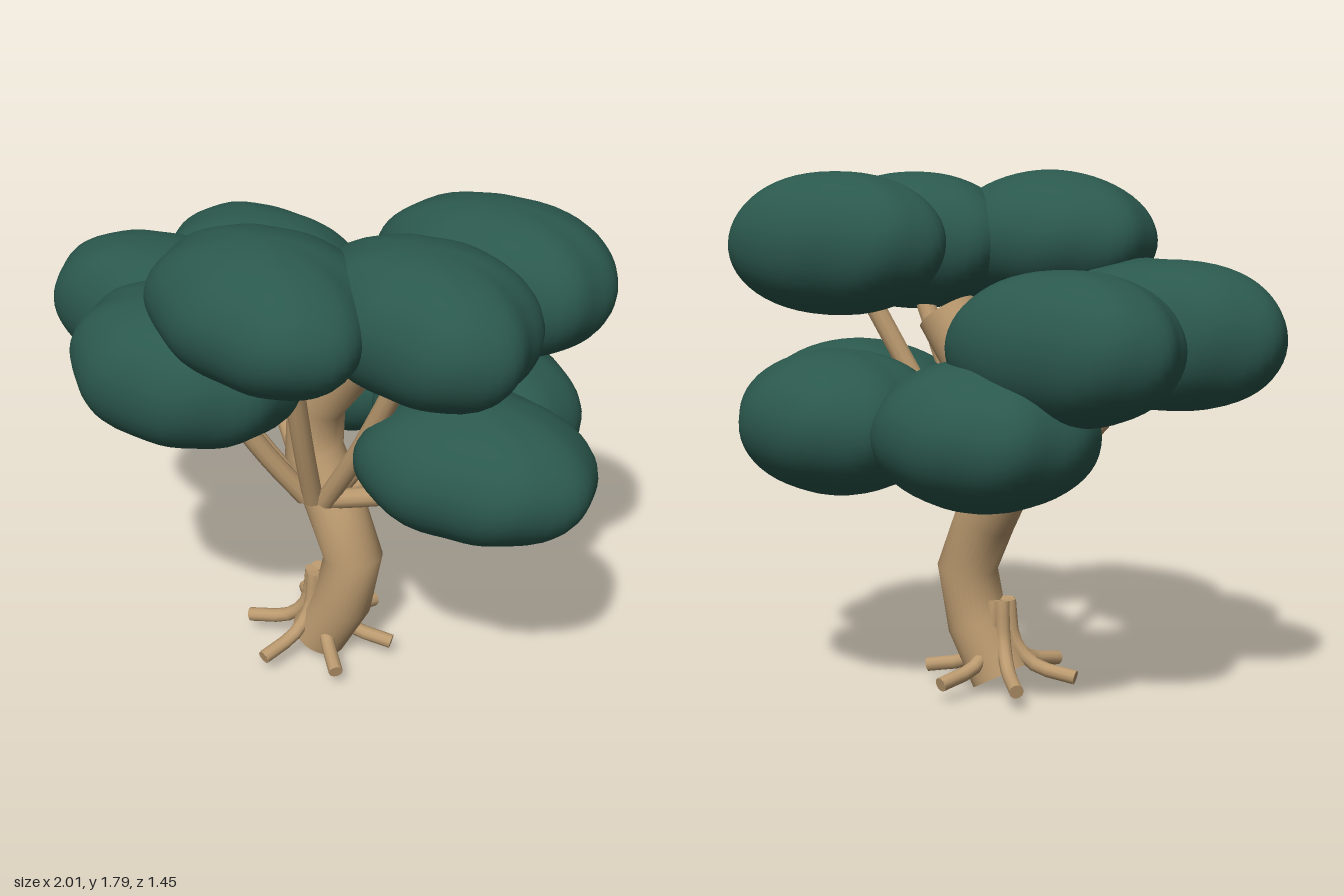
import * as THREE from 'three';
import { mergeVertices } from 'three/addons/utils/BufferGeometryUtils.js';

const leafMat = new THREE.MeshStandardMaterial({ color: 0x2b584d });
leafMat.name = 'deep green foliage';
const woodMat = new THREE.MeshStandardMaterial({ color: 0xbb9a6f });
woodMat.name = 'tan bark';

// Bent round limb with closed ends
function limb(name, pts, radius, segments, sides) {
  const group = new THREE.Group();
  group.name = name;
  const curve = new THREE.CatmullRomCurve3(pts.map((p) => new THREE.Vector3(...p)));
  const tube = new THREE.Mesh(new THREE.TubeGeometry(curve, segments, radius, sides), woodMat);
  tube.name = name + 'Wood';
  group.add(tube);
  for (const end of [0, 1]) {
    const cap = new THREE.Mesh(new THREE.CircleGeometry(radius, sides), woodMat);
    cap.name = name + 'End';
    cap.position.copy(curve.getPointAt(end));
    const dir = curve.getTangentAt(end).multiplyScalar(end ? 1 : -1);
    cap.quaternion.setFromUnitVectors(new THREE.Vector3(0, 0, 1), dir);
    group.add(cap);
  }
  return group;
}

// Flattened leaf cloud: an ellipsoid with soft lobes, one of them pointing along "lobe" degrees.
// "shear" slides the front sideways; a higher "taper" gives a sharper, lens-like rim.
function leafCloud({ x, y, z, rx, rz, lobe, taper, shear = 0 }) {
  const geo = new THREE.SphereGeometry(1, 48, 28);
  const pos = geo.attributes.position;
  const phase = THREE.MathUtils.degToRad(lobe);
  for (let i = 0; i < pos.count; i++) {
    const h = pos.getY(i);
    const a = Math.atan2(pos.getZ(i), pos.getX(i));
    const square = Math.pow(Math.abs(Math.cos(a)) ** 2.3 + Math.abs(Math.sin(a)) ** 2.3, -1 / 2.3);
    const lobes = 1 + 0.04 * Math.cos(3 * (a - phase)) + 0.018 * Math.sin(8 * (a - phase) + 2 * h);
    const r = Math.pow(Math.max(0, 1 - h * h), taper) * square * lobes;
    const dz = Math.sin(a) * r * rz;
    pos.setXYZ(i, x + Math.cos(a) * r * rx + shear * dz, y + h * 0.245, z + dz);
  }
  geo.deleteAttribute('uv');
  geo.deleteAttribute('normal');
  const smooth = mergeVertices(geo, 1e-4);
  smooth.computeVertexNormals();
  const mesh = new THREE.Mesh(smooth, leafMat);
  mesh.name = 'leafCloud';
  return mesh;
}

// Branch from the fork in the trunk, bowing up into the underside of a cloud
function branchTo({ x, y, z }) {
  const end = [x * 0.92, y - 0.1, z * 0.72];
  const at = (spread, rise) => [
    end[0] * spread, 0.66 + (end[1] - 0.66) * rise, 0.03 + (end[2] - 0.03) * spread];
  return limb('branch', [at(0.1, 0), at(0.46, 0.36), end], 0.035, 8, 10);
}

export function createModel() {
  const tree = new THREE.Group();
  tree.name = 'tree';

  // Trunk, an S bend
  tree.add(limb('trunk', [
    [-0.01, 0.05, -0.012], [0.09, 0.24, -0.015], [0.122, 0.43, -0.02], [0.03, 0.62, -0.04],
    [-0.07, 0.79, -0.07], [-0.06, 0.97, -0.07], [0.05, 1.13, -0.07], [0.17, 1.31, -0.07],
  ], 0.105, 7, 32));

  // Six roots fanned around the base
  const roots = new THREE.Group();
  roots.name = 'roots';
  for (let i = 0; i < 6; i++) {
    const a = THREE.MathUtils.degToRad(i * 60 - 13);
    const path = [[0.03, 0.32], [0.05, 0.18], [0.12, 0.1], [0.27, 0.065]];
    roots.add(limb('root',
      path.map(([r, y]) => [Math.cos(a) * r - 0.008, y, Math.sin(a) * r - 0.012]), 0.025, 8, 10));
  }
  tree.add(roots);

  // Canopy in three tiers, with one branch under each cloud
  const branches = new THREE.Group();
  branches.name = 'branches';
  const canopy = new THREE.Group();
  canopy.name = 'canopy';
  [
    // low tier
    { x: 0.584, y: 0.952, z: -0.005, rx: 0.4, rz: 0.305, lobe: 0, taper: 0.54 },
    { x: 0.4, y: 0.952, z: -0.38, rx: 0.36, rz: 0.3, lobe: 250, taper: 0.5 },
    { x: -0.19, y: 0.952, z: -0.42, rx: 0.375, rz: 0.295, lobe: 260, taper: 0.5 },
    // middle tier
    { x: -0.584, y: 1.255, z: 0.08, rx: 0.4, rz: 0.26, lobe: 180, taper: 0.4 },
    { x: -0.3, y: 1.245, z: 0.37, rx: 0.395, rz: 0.285, lobe: 100, taper: 0.41 },
    { x: -0.46, y: 1.235, z: -0.345, rx: 0.39, rz: 0.262, lobe: 225, taper: 0.45 },
    // top tier
    { x: 0.05, y: 1.547, z: 0.41, rx: 0.395, rz: 0.305, lobe: 60, taper: 0.53, shear: 0.15 },
    { x: 0.5, y: 1.54, z: 0.215, rx: 0.385, rz: 0.285, lobe: 60, taper: 0.46, shear: 0.15 },
    { x: 0.535, y: 1.54, z: -0.21, rx: 0.405, rz: 0.255, lobe: 300, taper: 0.46 },
  ].forEach((cloud) => {
    canopy.add(leafCloud(cloud));
    branches.add(branchTo(cloud));
  });
  tree.add(branches, canopy);

  return tree;
}
